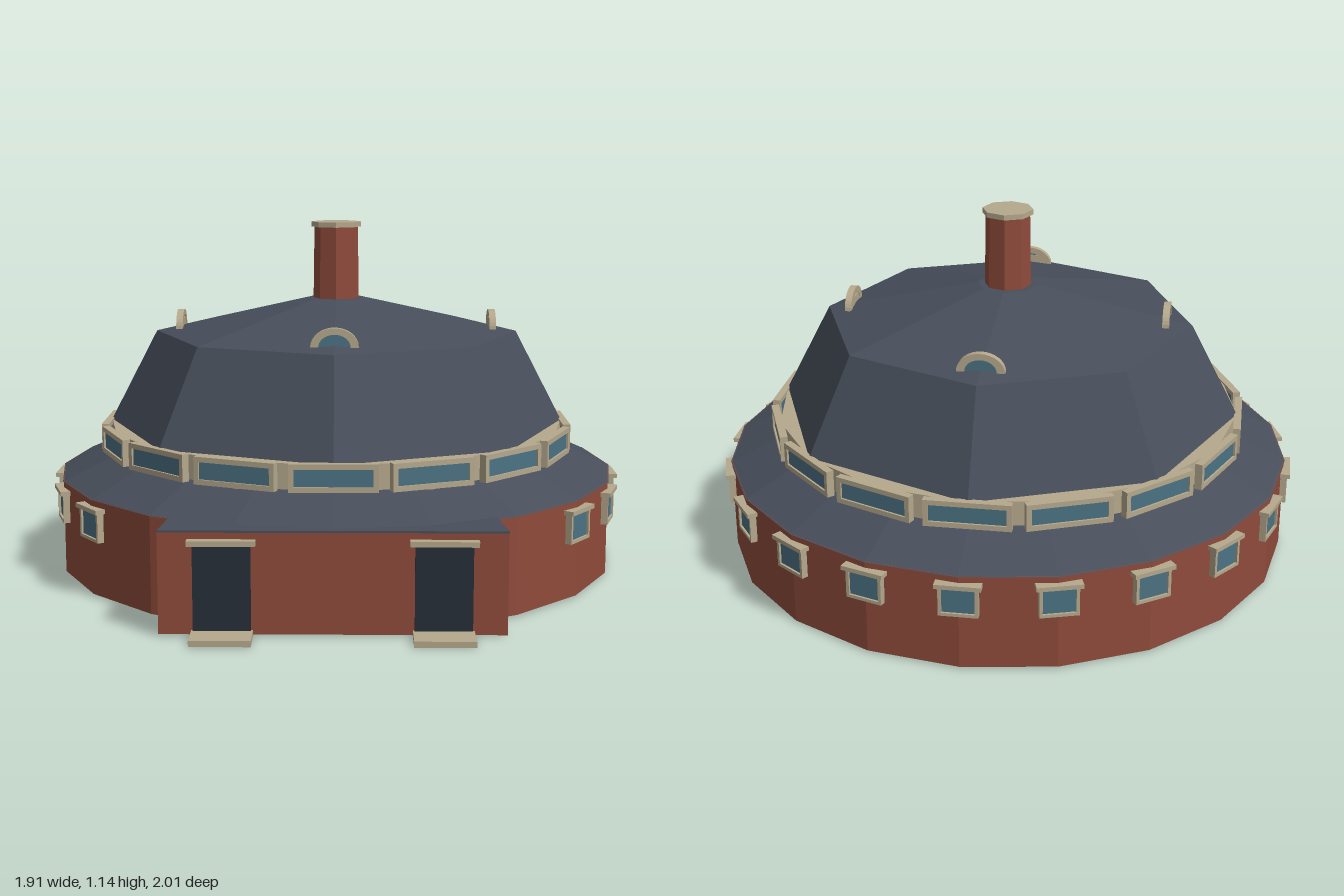
import * as THREE from 'three';

const paint = (color) => new THREE.MeshStandardMaterial({ color, flatShading: true });
const brick = paint(0x8f4b3b);
const slate = paint(0x474e5a);
const trim = paint(0xb5a88c);
const glass = paint(0x4b7283);
const dark = paint(0x272e38);

function add(parent, name, geometry, material, x = 0, y = 0, z = 0) {
  const mesh = new THREE.Mesh(geometry, material);
  mesh.name = name;
  mesh.position.set(x, y, z);
  parent.add(mesh);
  return mesh;
}

const box = (w, h, d) => new THREE.BoxGeometry(w, h, d);

// Many-sided ring or frustum standing between two heights
function tier(parent, name, sides, r0, y0, r1, y1, material) {
  return add(parent, name, new THREE.CylinderGeometry(r1, r0, y1 - y0, sides), material, 0, (y0 + y1) / 2, 0);
}

// Rectangular frame with an opening, centred on the origin
function frameGeometry(w, h, border, depth) {
  const rect = (target, a, b) => {
    target.moveTo(-a, -b);
    target.lineTo(a, -b);
    target.lineTo(a, b);
    target.lineTo(-a, b);
    target.closePath();
    return target;
  };
  const shape = rect(new THREE.Shape(), w / 2, h / 2);
  shape.holes.push(rect(new THREE.Path(), w / 2 - border, h / 2 - border));
  const geometry = new THREE.ExtrudeGeometry(shape, { depth, bevelEnabled: false });
  return geometry.translate(0, 0, -depth / 2);
}

// Group turned to face outward at an angle around the building
function facing(parent, name, angle, radius, y) {
  const group = new THREE.Group();
  group.name = name;
  group.position.set(Math.sin(angle) * radius, y, Math.cos(angle) * radius);
  group.rotation.y = angle;
  parent.add(group);
  return group;
}

// Porch plan, extruded upward between two heights
function porchSlab(parent, name, y0, y1, material) {
  const plan = new THREE.Shape([
    new THREE.Vector2(-0.505, -0.95), new THREE.Vector2(0.505, -0.95),
    new THREE.Vector2(0.48, -0.74), new THREE.Vector2(-0.48, -0.74),
  ]);
  const geometry = new THREE.ExtrudeGeometry(plan, { depth: y1 - y0, bevelEnabled: false });
  geometry.rotateX(-Math.PI / 2);
  add(parent, name, geometry, material, 0, y0, 0);
}

export function createModel() {
  const model = new THREE.Group();
  model.name = 'roundHouse';
  const house = new THREE.Group();
  house.name = 'house';
  house.position.z = -0.05;
  model.add(house);

  // Round brick wall, porch and stacked roofs
  tier(house, 'roundWall', 20, 0.935, 0.005, 0.935, 0.31, brick);
  porchSlab(house, 'porchWall', 0.005, 0.307, brick);
  porchSlab(house, 'porchRoof', 0.307, 0.313, slate);
  tier(house, 'lowerRoof', 20, 0.938, 0.308, 0.76, 0.388, slate);
  tier(house, 'windowBand', 16, 0.77, 0.38, 0.77, 0.466, trim);
  tier(house, 'domeSide', 8, 0.77, 0.466, 0.61, 0.772, slate);
  tier(house, 'domeTop', 8, 0.61, 0.772, 0.1, 0.886, slate);

  // Chimney with flat cap
  tier(house, 'chimney', 8, 0.077, 0.86, 0.073, 1.127, brick);
  tier(house, 'chimneyCap', 8, 0.083, 1.125, 0.083, 1.142, trim);

  // Wide windows around the upper band
  const bandFrame = frameGeometry(0.268, 0.086, 0.016, 0.025);
  for (let i = 0; i < 16; i++) {
    const win = facing(house, 'bandWindow', (i * Math.PI) / 8, 0.773, 0.429);
    add(win, 'bandFrame', bandFrame, trim);
    add(win, 'bandGlass', box(0.24, 0.058, 0.012), glass);
  }

  // Small windows around the wall, leaving out the porch side
  const wallFrame = frameGeometry(0.12, 0.1, 0.01, 0.03);
  for (let i = 3; i <= 17; i++) {
    const win = facing(house, 'wallWindow', (i * Math.PI) / 10, 0.932, 0.232);
    add(win, 'wallFrame', wallFrame, trim);
    add(win, 'wallGlass', box(0.104, 0.084, 0.016), glass);
    add(win, 'wallLintel', box(0.14, 0.014, 0.045), trim, 0, 0.05, 0.002);
  }

  // Half-round roof lights
  const arch = new THREE.Shape();
  arch.absarc(0, 0, 0.075, 0, Math.PI, false);
  arch.lineTo(-0.05, 0);
  arch.absarc(0, 0, 0.05, Math.PI, 0, true);
  const archGeometry = new THREE.ExtrudeGeometry(arch, { depth: 0.022, bevelEnabled: false, curveSegments: 8 });
  const pane = new THREE.CylinderGeometry(0.052, 0.052, 0.01, 16, 1, false, Math.PI / 2, Math.PI);
  pane.rotateX(Math.PI / 2);
  for (let i = 0; i < 4; i++) {
    const light = facing(house, 'roofLight', (i * Math.PI) / 2, 0.515, 0.785);
    light.scale.y = 0.8;
    add(light, 'roofLightFrame', archGeometry, trim);
    add(light, 'roofLightGlass', pane, glass, 0, 0, 0.01).material = glass;
    add(light, 'roofLightBack', box(0.1, 0.045, 0.004), trim, 0, 0.018, 0.003);
  }

  // Two porch doors with lintels and steps
  for (const side of [-1, 1]) {
    const door = new THREE.Group();
    door.name = side > 0 ? 'leftDoor' : 'rightDoor';
    door.position.set(side * 0.32, 0, 0.9);
    add(door, 'doorPanel', box(0.168, 0.255, 0.016), dark, 0, 0.145, 0);
    add(door, 'doorLintel', box(0.198, 0.016, 0.05), trim, 0, 0.28, 0.002);
    add(door, 'doorStep', box(0.178, 0.018, 0.11), trim, 0, 0.009, 0.045);
    model.add(door);
  }

  return model;
}
